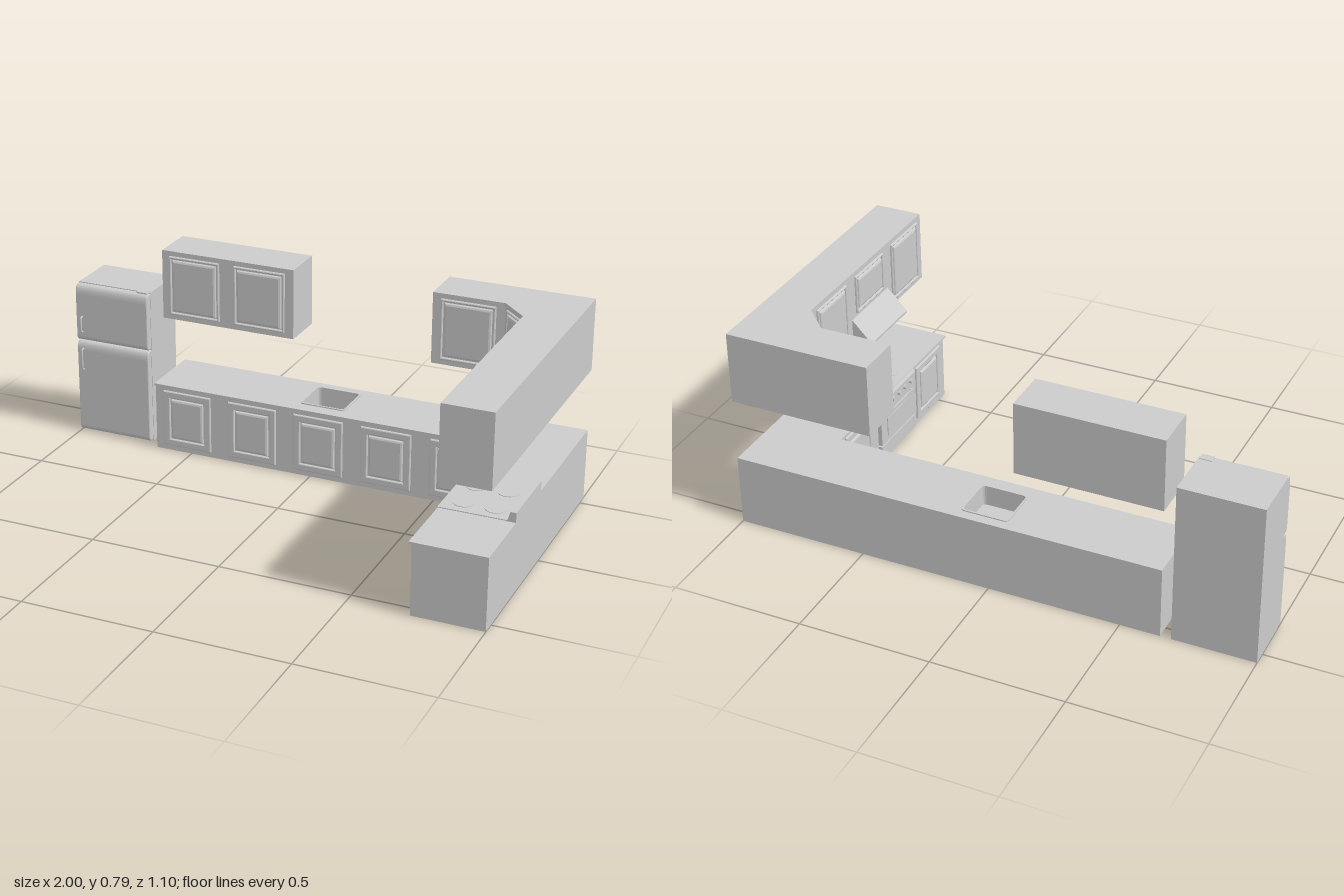
import * as THREE from 'three';

const material = new THREE.MeshStandardMaterial({ color: 0xcccccc, side: THREE.DoubleSide });

function add(parent, name, geometry, x = 0, y = 0, z = 0) {
  const mesh = new THREE.Mesh(geometry, material);
  mesh.name = name;
  mesh.position.set(x, y, z);
  parent.add(mesh);
  return mesh;
}

function box(parent, name, x0, x1, y0, y1, z0, z1) {
  return add(parent, name, new THREE.BoxGeometry(x1 - x0, y1 - y0, z1 - z0),
    (x0 + x1) / 2, (y0 + y1) / 2, (z0 + z1) / 2);
}

const polygon = (points) => new THREE.Shape(points.map(([a, b]) => new THREE.Vector2(a, b)));

// Rectangle outline with rounded corners
function roundRect(target, x0, x1, y0, y1, r) {
  target.moveTo(x0 + r, y0).lineTo(x1 - r, y0).quadraticCurveTo(x1, y0, x1, y0 + r)
    .lineTo(x1, y1 - r).quadraticCurveTo(x1, y1, x1 - r, y1)
    .lineTo(x0 + r, y1).quadraticCurveTo(x0, y1, x0, y1 - r)
    .lineTo(x0, y0 + r).quadraticCurveTo(x0, y0, x0 + r, y0);
  return target;
}

// Floor plan given as (x, z) points, raised from y0 to y1
function slab(parent, name, plan, y0, y1, hole) {
  const shape = polygon(plan.map(([x, z]) => [x, -z]));
  if (hole) shape.holes.push(hole);
  const geometry = new THREE.ExtrudeGeometry(shape, { depth: y1 - y0, bevelEnabled: false, curveSegments: 4 });
  return add(parent, name, geometry.rotateX(-Math.PI / 2), 0, y0, 0);
}

// Side profile (x, y) swept along z
function sweepZ(parent, name, profile, z0, z1) {
  const geometry = new THREE.ExtrudeGeometry(polygon(profile), { depth: z1 - z0, bevelEnabled: false });
  return add(parent, name, geometry, 0, 0, z0);
}

const rect = (w, h) => polygon([[-w / 2, -h / 2], [w / 2, -h / 2], [w / 2, h / 2], [-w / 2, h / 2]]);

// Bevelled plate standing proud of z = 0
function plate(parent, name, w, h, height, bevel, innerW, innerH) {
  const shape = rect(w - 2 * bevel, h - 2 * bevel);
  if (innerW) shape.holes.push(rect(innerW + 2 * bevel, innerH + 2 * bevel));
  return add(parent, name, new THREE.ExtrudeGeometry(shape, {
    depth: 0.001, bevelThickness: height - 0.001, bevelSize: bevel, bevelSegments: 2,
  }));
}

// Panelled door; angle 0 faces +z, -PI/2 faces -x
function door(parent, name, w, h, x, y, z, angle, border) {
  const group = new THREE.Group();
  group.name = name;
  plate(group, 'doorFrame', w, h, 0.008, 0.004, w - border * 2, h - border * 2);
  plate(group, 'raisedPanel', w - border * 2 - 0.008, h - border * 2 - 0.008, 0.01, 0.009);
  group.position.set(x, y, z);
  group.rotation.y = angle;
  parent.add(group);
}

const LEFTWARD = -Math.PI / 2;

function lowerCabinets() {
  const g = new THREE.Group();
  g.name = 'lowerCabinets';
  const plan = (front, inner) => [[-0.65, -0.55], [1, -0.55], [1, 0.55], [inner, 0.55], [inner, front], [-0.65, front]];
  const sinkHole = () => roundRect(new THREE.Path(), -0.055, 0.115, 0.345, 0.505, 0.015);
  slab(g, 'cabinetBase', plan(-0.297, 0.732), 0, 0.2);
  slab(g, 'cabinetTop', plan(-0.297, 0.732), 0.2, 0.266, sinkHole());
  slab(g, 'countertop', plan(-0.285, 0.72), 0.266, 0.275, sinkHole());

  // Raised sink rim and drain
  const rim = roundRect(new THREE.Shape(), -0.062, 0.122, 0.338, 0.512, 0.018);
  rim.holes.push(sinkHole());
  const rimGeometry = new THREE.ExtrudeGeometry(rim, { depth: 0.004, bevelEnabled: false, curveSegments: 4 });
  add(g, 'sinkRim', rimGeometry.rotateX(-Math.PI / 2), 0, 0.275, 0);
  add(g, 'sinkDrain', new THREE.CylinderGeometry(0.012, 0.012, 0.003, 16), 0.03, 0.201, -0.425);

  for (let i = 0; i < 5; i++) door(g, 'lowerDoor', 0.2, 0.228, -0.515 + i * 0.274, 0.135, -0.297, 0, 0.028);
  for (const z of [-0.14, 0.412]) door(g, 'lowerSideDoor', 0.2, 0.228, 0.732, 0.135, z, LEFTWARD, 0.028);
  return g;
}

function upperCabinets() {
  const g = new THREE.Group();
  g.name = 'upperCabinets';
  box(g, 'leftWallCabinet', -0.65, -0.105, 0.515, 0.79, -0.55, -0.375);
  slab(g, 'cornerWallCabinet', [[0.445, -0.55], [1, -0.55], [1, 0.55], [0.815, 0.55],
    [0.815, -0.28], [0.72, -0.375], [0.445, -0.375]], 0.515, 0.79);
  for (const x of [-0.515, -0.245, 0.582]) door(g, 'upperDoor', 0.21, 0.236, x, 0.653, -0.375, 0, 0.01);
  for (const z of [-0.14, 0.412]) door(g, 'upperSideDoor', 0.21, 0.236, 0.815, 0.653, z, LEFTWARD, 0.01);
  door(g, 'cornerDoor', 0.1, 0.236, 0.7675, 0.653, -0.3275, -Math.PI / 4, 0.01);
  door(g, 'hoodCabinetDoor', 0.21, 0.15, 0.815, 0.695, 0.137, LEFTWARD, 0.01);

  // Extractor hood: sloping shell, open below
  sweepZ(g, 'hoodSlope', [[0.737, 0.515], [0.737, 0.524], [0.815, 0.605], [0.815, 0.598], [0.742, 0.522], [0.742, 0.515]], 0.002, 0.275);
  const cheek = [[0.737, 0.515], [0.815, 0.515], [0.815, 0.605], [0.737, 0.524]];
  sweepZ(g, 'hoodCheek', cheek, 0, 0.005);
  sweepZ(g, 'hoodCheek', cheek, 0.271, 0.276);
  return g;
}

function range() {
  const g = new THREE.Group();
  g.name = 'range';
  sweepZ(g, 'backGuard', [[0.968, 0.275], [1, 0.275], [1, 0.312], [0.979, 0.312]], 0.005, 0.276);
  box(g, 'cooktop', 0.718, 0.97, 0.27, 0.278, 0.003, 0.274);
  sweepZ(g, 'controlPanel', [[0.735, 0.22], [0.711, 0.22], [0.711, 0.262], [0.72, 0.278], [0.735, 0.278]], 0.003, 0.274);
  box(g, 'ovenDoor', 0.716, 0.735, 0.075, 0.214, 0.005, 0.272);
  box(g, 'warmingDrawer', 0.716, 0.735, 0.012, 0.069, 0.005, 0.272);
  box(g, 'ovenWindow', 0.713, 0.72, 0.095, 0.175, 0.05, 0.227);
  box(g, 'ovenHandle', 0.705, 0.711, 0.194, 0.202, 0.03, 0.247);
  for (const z of [0.035, 0.242]) box(g, 'ovenHandlePost', 0.708, 0.718, 0.194, 0.202, z - 0.004, z + 0.004);
  for (let i = 0; i < 5; i++) {
    const knob = new THREE.CylinderGeometry(0.009, 0.009, 0.014, 16).rotateZ(Math.PI / 2);
    add(g, 'knob', knob, 0.708, 0.242, 0.045 + i * 0.047);
  }
  for (const x of [0.79, 0.905]) for (const z of [0.07, 0.207]) {
    add(g, 'burner', new THREE.CylinderGeometry(0.038, 0.038, 0.002, 32), x, 0.279, z);
  }
  return g;
}

function fridge() {
  const g = new THREE.Group();
  g.name = 'fridge';
  box(g, 'fridgeBody', -1, -0.69, 0, 0.62, -0.55, -0.345);

  // Door profile bulges forward and rolls back at top and bottom
  const fridgeDoor = (name, y0, y1) => {
    const s = new THREE.Shape();
    s.moveTo(0.346, y0).lineTo(0.336, y0).quadraticCurveTo(0.314, y0, 0.314, y0 + 0.02)
      .lineTo(0.314, y1 - 0.035).quadraticCurveTo(0.315, y1, 0.336, y1).lineTo(0.346, y1);
    const geometry = new THREE.ExtrudeGeometry(s, {
      depth: 0.302, bevelThickness: 0.004, bevelSize: 0.004, bevelOffset: -0.004, bevelSegments: 2, curveSegments: 8,
    });
    add(g, name, geometry.rotateY(Math.PI / 2), -0.996, 0, 0);
  };
  fridgeDoor('fridgeDoor', 0.006, 0.384);
  fridgeDoor('freezerDoor', 0.388, 0.617);
  box(g, 'hinge', -0.74, -0.695, 0.617, 0.622, -0.36, -0.33);

  for (const [y0, y1] of [[0.268, 0.354], [0.426, 0.488]]) {
    const points = [[y0, -0.316], [y0 + 0.002, -0.304], [y0 + 0.01, -0.302], [y1 - 0.01, -0.302], [y1 - 0.002, -0.304], [y1, -0.316]];
    const path = new THREE.CatmullRomCurve3(points.map(([y, z]) => new THREE.Vector3(-0.974, y, z)), false, 'centripetal');
    add(g, 'fridgeHandle', new THREE.TubeGeometry(path, 24, 0.004, 8));
  }
  return g;
}

export function createModel() {
  const model = new THREE.Group();
  model.name = 'kitchen';
  model.add(lowerCabinets(), upperCabinets(), range(), fridge());
  return model;
}
